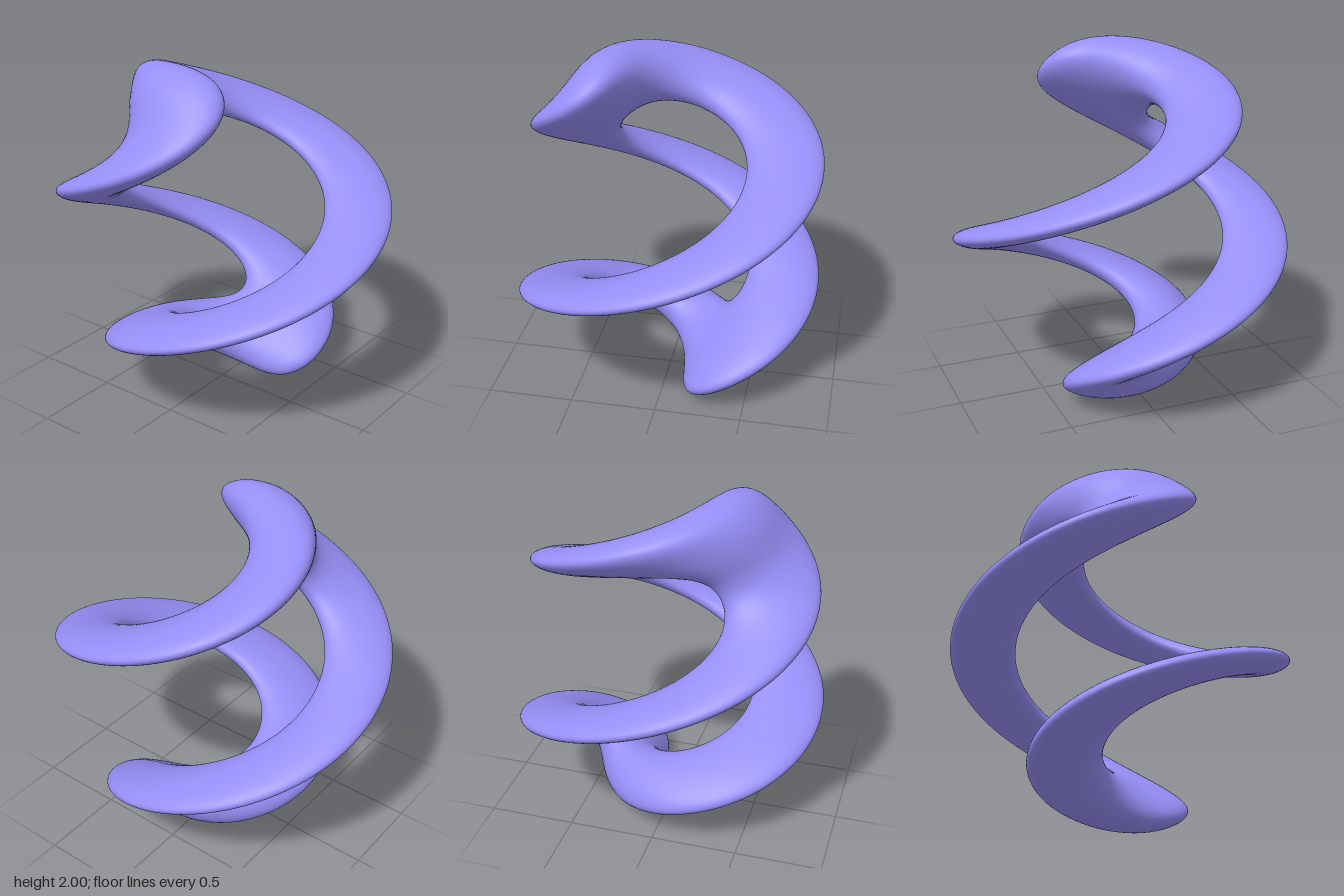
import * as THREE from 'three';
import { mergeVertices } from 'three/addons/utils/BufferGeometryUtils.js';

const TWIST = Math.PI; // radians of turn per unit of height
const LEAN_SHIFT = 0.18; // where round the ring the lean is strongest, past the crown

// Upright ring, its top and bottom pushed sideways, then twisted about the vertical axis
function twistedRing() {
  let geo = new THREE.TorusGeometry(0.81, 0.19, 48, 360);
  geo.deleteAttribute('uv');
  geo.deleteAttribute('normal');
  geo = mergeVertices(geo, 1e-5);
  const p = geo.attributes.position;
  for (let i = 0; i < p.count; i++) {
    const y = p.getY(i);
    // sideways lean that grows towards the top and bottom
    const s = Math.sin(Math.atan2(y, p.getX(i)) - LEAN_SHIFT) ** 3;
    const x = p.getX(i) * 0.975 + (s > 0 ? 0.05 : 0.14) * s;
    const z = p.getZ(i) - (s > 0 ? 0.335 : 0.245) * s;
    // twist
    const c = Math.cos(TWIST * y), n = Math.sin(TWIST * y);
    p.setXYZ(i, x * c + z * n, y + 1, z * c - x * n);
  }
  geo.computeVertexNormals();
  return geo;
}

export function createModel() {
  const group = new THREE.Group();
  group.name = 'twistedRingSculpture';
  const ring = new THREE.Mesh(
    twistedRing(),
    new THREE.MeshStandardMaterial({ color: 0x988ff8 })
  );
  ring.name = 'twistedRing';
  group.add(ring);
  return group;
}
